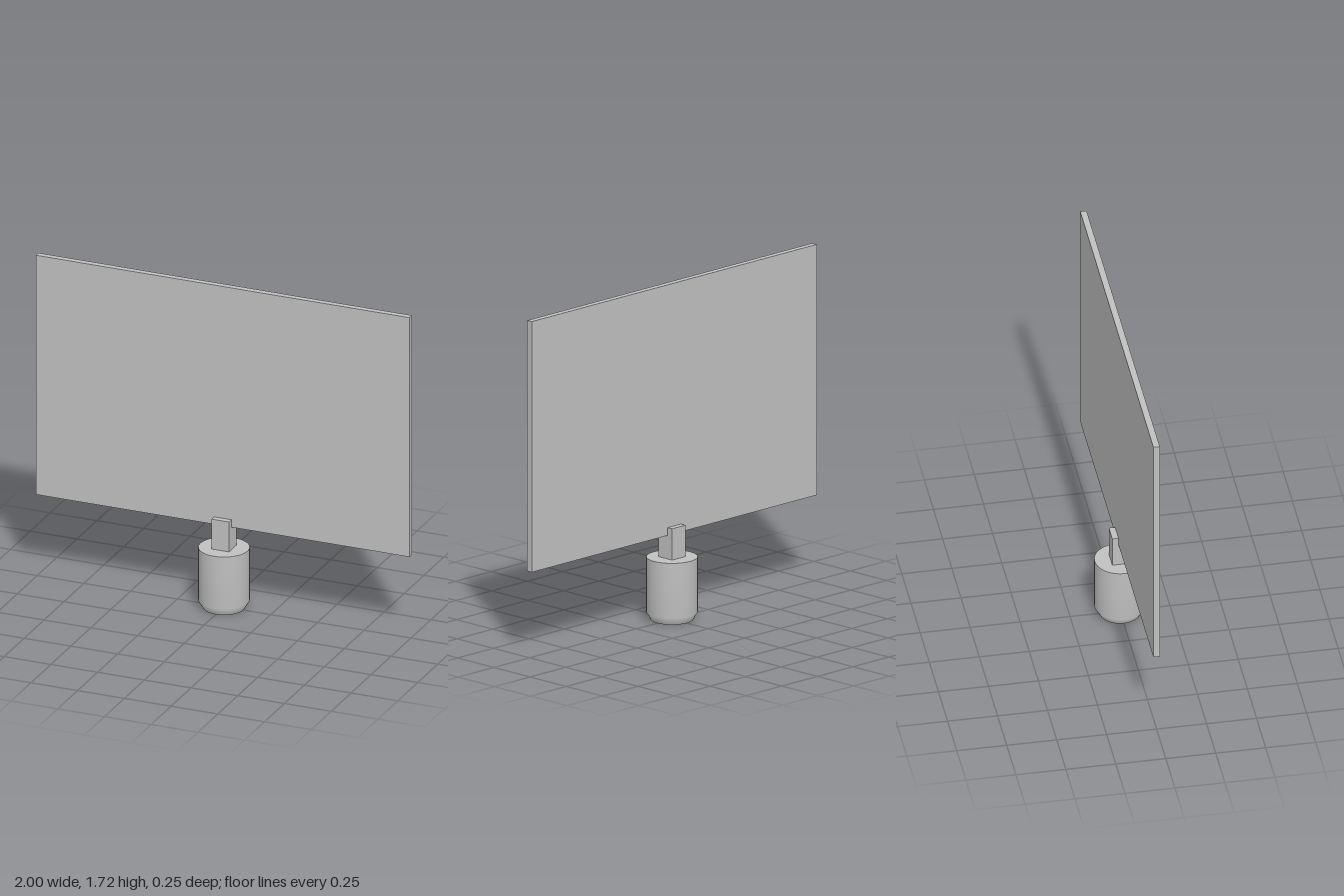
import * as THREE from 'three';

export function createModel() {
  const model = new THREE.Group();
  const grey = new THREE.MeshStandardMaterial({ color: 0xc0c0c0 });
  grey.name = 'plain grey';
  grey.side = THREE.DoubleSide;

  const add = (name, geometry, y) => {
    const mesh = new THREE.Mesh(geometry, grey);
    mesh.name = name;
    mesh.position.y = y;
    model.add(mesh);
    return mesh;
  };

  // Hollow handle: tapered foot and straight wall, open underneath
  const radius = 0.127, height = 0.32;
  const profile = [[0.104, 0], [radius, 0.04], [radius, height]];
  add('handleShell', new THREE.LatheGeometry(profile.map(([r, y]) => new THREE.Vector2(r, y)), 32), 0);

  // Flat lid closing the top of the handle
  add('handleLid', new THREE.CircleGeometry(radius, 32).rotateX(-Math.PI / 2), height);

  // Square stem that grips the lower edge of the panel
  add('stem', new THREE.BoxGeometry(0.094, 0.16, 0.094), 0.40);

  // Wide thin panel
  add('panel', new THREE.BoxGeometry(2, 1.28, 0.032), 1.08);

  return model;
}
